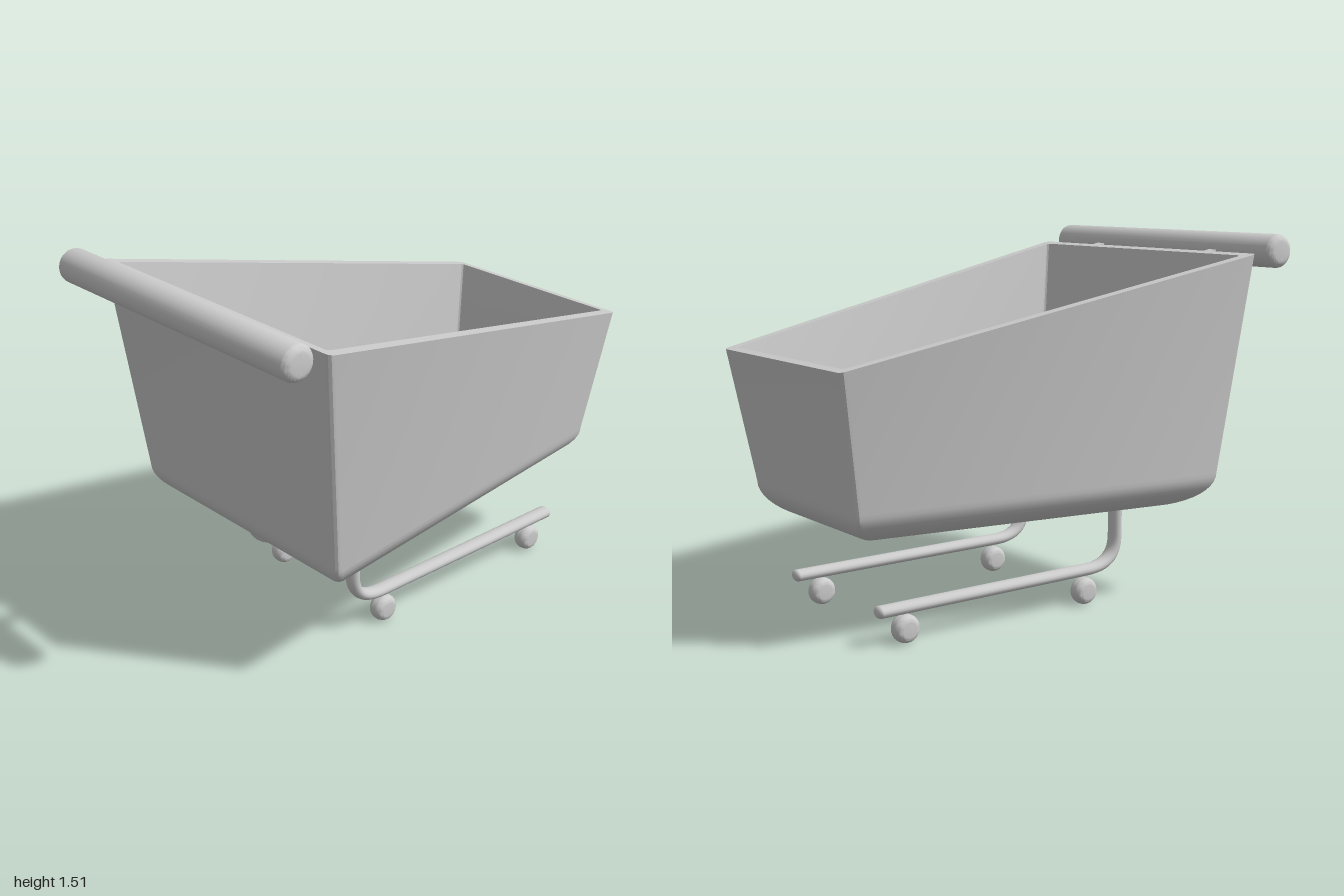
import * as THREE from 'three';
import { toCreasedNormals } from 'three/addons/utils/BufferGeometryUtils.js';

const V = (x, y, z) => new THREE.Vector3(x, y, z);
const material = new THREE.MeshStandardMaterial({ color: 0xcccccc });

function add(parent, name, geometry, x = 0, y = 0, z = 0) {
  const mesh = new THREE.Mesh(geometry, material);
  mesh.name = name;
  mesh.position.set(x, y, z);
  parent.add(mesh);
  return mesh;
}

// Trapezoid loop with small rounded corners; height is a function of z.
function section([zf, zb, wf, wb], inset, yAt, r) {
  const corners = [[wf, zf, 0], [wb, zb, -1], [-wb, zb, -2], [-wf, zf, -3]];
  const loop = [];
  for (const [x, z, q] of corners) {
    const cx = x - Math.sign(x) * (r + inset), cz = z - (z === zf ? 1 : -1) * (r + inset);
    for (let i = 0; i <= 3; i++) {
      const a = (q + 1 - i / 3) * Math.PI / 2;
      const pz = cz + r * Math.sin(a);
      loop.push(V(cx + r * Math.cos(a), yAt(pz), pz));
    }
  }
  return loop;
}

// Wall from a rounded bottom up to the sloping rim.
// Outlines are [front z, back z, front half width, back half width].
function shell(rimOutline, shoulderOutline, floor, shoulder, fillet, r) {
  const rows = [], steps = 12;
  for (let i = 0; i <= steps; i++) {
    const a = (i / steps) * Math.PI / 2;
    const y = floor + (shoulder - floor) * (1 - Math.cos(a));
    rows.push(section(shoulderOutline, fillet * (1 - Math.sin(a)), () => y, r));
  }
  rows.push(section(rimOutline, 0, z => 1.274 + 0.203 * z, r));
  return rows;
}

// Tapered basket: outer shell joined over the rim to an inner shell with a thick floor
function basketGeometry() {
  const outer = shell([0.8, -1, 0.68, 0.457], [0.704, -0.909, 0.594, 0.396], 0.389, 0.54, 0.225, 0.024);
  const inner = shell([0.762, -0.964, 0.625, 0.414], [0.655, -0.875, 0.543, 0.355], 0.48, 0.61, 0.17, 0.016);
  const rows = [...outer, ...inner.reverse()];
  const n = rows[0].length, index = [];
  for (let r = 0; r < rows.length - 1; r++) {
    for (let i = 0; i < n; i++) {
      const j = (i + 1) % n, a = r * n + i, b = r * n + j;
      index.push(a, b, b + n, a, b + n, a + n);
    }
  }
  // Underside and inner floor
  const last = (rows.length - 1) * n;
  for (let i = 1; i < n - 1; i++) {
    index.push(0, i + 1, i, last, last + i, last + i + 1);
  }
  const geometry = new THREE.BufferGeometry().setFromPoints(rows.flat());
  geometry.setIndex(index);
  return toCreasedNormals(geometry, 0.45);
}

// Solid of revolution lying along x, with rounded end edges
function roller(radius, half, bevelR, bevelX, segments) {
  const profile = [new THREE.Vector2(0, -half)];
  for (const s of [-1, 1]) {
    for (let i = 0; i <= 8; i++) {
      const a = ((s < 0 ? i : 8 - i) / 8) * Math.PI / 2;
      profile.push(new THREE.Vector2(radius - bevelR * (1 - Math.sin(a)),
        s * (half - bevelX * (1 - Math.cos(a)))));
    }
  }
  profile.push(new THREE.Vector2(0, half));
  const geometry = new THREE.LatheGeometry(profile, segments).rotateZ(-Math.PI / 2);
  geometry.deleteAttribute('normal');
  geometry.deleteAttribute('uv');
  return toCreasedNormals(geometry, 0.7);
}

export function createModel() {
  const cart = new THREE.Group();
  cart.name = 'cart';
  add(cart, 'basket', basketGeometry());
  add(cart, 'handle', roller(0.069, 0.691, 0.035, 0.03, 40), 0, 1.443, 0.931);

  // Bent leg running into a long wheel bar
  const path = new THREE.CurvePath();
  path.add(new THREE.LineCurve3(V(0, 0.41, 0.38), V(0, 0.27, 0.38)));
  path.add(new THREE.CubicBezierCurve3(V(0, 0.27, 0.38), V(0, 0.185, 0.38), V(0, 0.145, 0.33), V(0, 0.144, 0.23)));
  path.add(new THREE.LineCurve3(V(0, 0.144, 0.23), V(0, 0.139, -0.77)));
  const legGeometry = new THREE.TubeGeometry(path, 90, 0.024, 16).scale(1.42, 1, 1);
  const tipGeometry = new THREE.SphereGeometry(0.024, 16, 12).scale(1.42, 1, 0.7);
  const wheelGeometry = roller(0.056, 0.036, 0.026, 0.034, 28);

  for (const side of [1, -1]) {
    const name = side > 0 ? 'left' : 'right';
    const strut = add(cart, name + 'HandleStrut', new THREE.BoxGeometry(0.046, 0.025, 0.14), side * 0.362, 1.422, 0.84);
    strut.rotation.x = -0.22;
    const x = side * 0.318;
    add(cart, name + 'Leg', legGeometry, x);
    add(cart, name + 'LegTip', tipGeometry, x, 0.139, -0.77);
    add(cart, name + 'FrontWheel', wheelGeometry, x, 0.057, 0.215);
    add(cart, name + 'BackWheel', wheelGeometry, x, 0.057, -0.658);
  }
  return cart;
}
